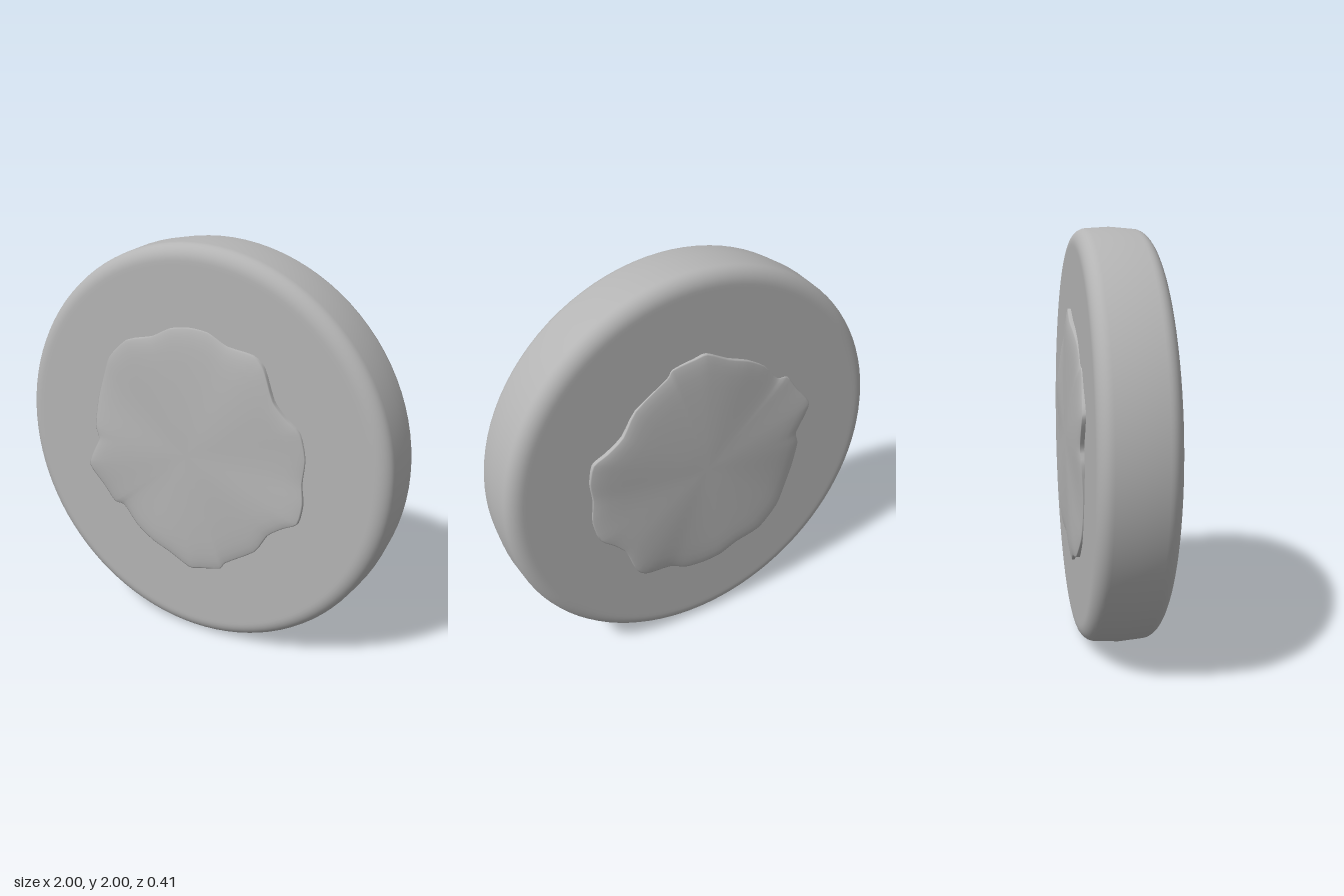
import * as THREE from 'three';

const grey = new THREE.MeshStandardMaterial({ color: 0xb4b4b4 });
grey.name = 'plain grey';

// Disc with softly rounded shoulders and a slightly bulging rim
function makeDisc() {
  const half = 0.173, radial = 0.075, axial = 0.065, bulge = 0.008;
  const top = [];
  for (let i = 0; i <= 8; i++) {
    const a = (i / 8) * Math.PI / 2;
    top.push([1 - bulge - radial + radial * Math.cos(a), half - axial + axial * Math.sin(a)]);
  }
  top.push([0.9, half], [0.6, half], [0, half]);
  const profile = [
    ...top.map(([r, y]) => new THREE.Vector2(r, -y)).reverse(),
    new THREE.Vector2(1, 0),
    ...top.map(([r, y]) => new THREE.Vector2(r, y)),
  ];
  const disc = new THREE.Mesh(new THREE.LatheGeometry(profile, 96).rotateX(Math.PI / 2), grey);
  disc.name = 'disc';
  return disc;
}

// Uneven outline of the raised boss, counter-clockwise from the top
const outline = [
  [0, 0.62], [-0.1, 0.605], [-0.2, 0.555], [-0.34, 0.52], [-0.45, 0.42], [-0.49, 0.33],
  [-0.53, 0.2], [-0.55, 0.05], [-0.53, -0.02], [-0.57, -0.1], [-0.6, -0.18], [-0.52, -0.28],
  [-0.46, -0.36], [-0.4, -0.37], [-0.32, -0.46], [-0.22, -0.52], [-0.11, -0.56], [0, -0.615],
  [0.06, -0.605], [0.17, -0.58], [0.2, -0.54], [0.36, -0.43], [0.43, -0.32], [0.51, -0.26],
  [0.58, -0.22], [0.6, -0.12], [0.59, -0.02], [0.6, 0.1], [0.57, 0.22], [0.5, 0.28],
  [0.44, 0.35], [0.39, 0.49], [0.33, 0.54], [0.2, 0.56], [0.1, 0.61],
];

// Shallow, wavy boss made of concentric rings from the centre to the outline
function makeBoss() {
  const curve = new THREE.CatmullRomCurve3(
    outline.map(([x, y]) => new THREE.Vector3(x, y, 0)), true, 'catmullrom', 0.35);
  const n = 105;
  const edge = Array.from({ length: n }, (_, i) => curve.getPoint(i / n));
  const rings = [0.15, 0.3, 0.45, 0.6, 0.75, 0.86, 0.93, 0.97, 0.99, 1, 1];
  const pos = [0, 0, 0.205], index = [];
  rings.forEach((t, k) => {
    for (const p of edge) {
      const a = Math.atan2(p.y, p.x);
      const wave = 0.5 + 0.5 * Math.cos(5 * a - 0.6);
      const fall = (0.004 + 0.016 * wave) * t * t + 0.012 * Math.pow(t, 16);
      // blend from a round centre to the uneven outline
      const r = t * THREE.MathUtils.lerp(0.59, Math.hypot(p.x, p.y), t);
      const z = k === rings.length - 1 ? 0.15 : 0.207 - fall;
      pos.push(r * Math.cos(a), r * Math.sin(a), z);
    }
  });
  for (let i = 0; i < n; i++) {
    const j = (i + 1) % n;
    index.push(0, 1 + i, 1 + j);
    for (let k = 0; k < rings.length - 1; k++) {
      const a = 1 + k * n + i, b = 1 + k * n + j;
      index.push(a, a + n, b + n, a, b + n, b);
    }
  }
  const geo = new THREE.BufferGeometry();
  geo.setAttribute('position', new THREE.Float32BufferAttribute(pos, 3));
  geo.setIndex(index);
  geo.computeVertexNormals();
  return geo;
}

export function createModel() {
  const model = new THREE.Group();
  model.name = 'bossedDisc';
  model.add(makeDisc());

  // The back boss is the front one turned half round the x axis
  const bossGeometry = makeBoss();
  for (const [name, turn] of [['frontBoss', 0], ['backBoss', Math.PI]]) {
    const boss = new THREE.Mesh(bossGeometry, grey);
    boss.name = name;
    boss.rotation.x = turn;
    model.add(boss);
  }
  model.children.forEach((part) => { part.position.y = 1; });
  return model;
}
